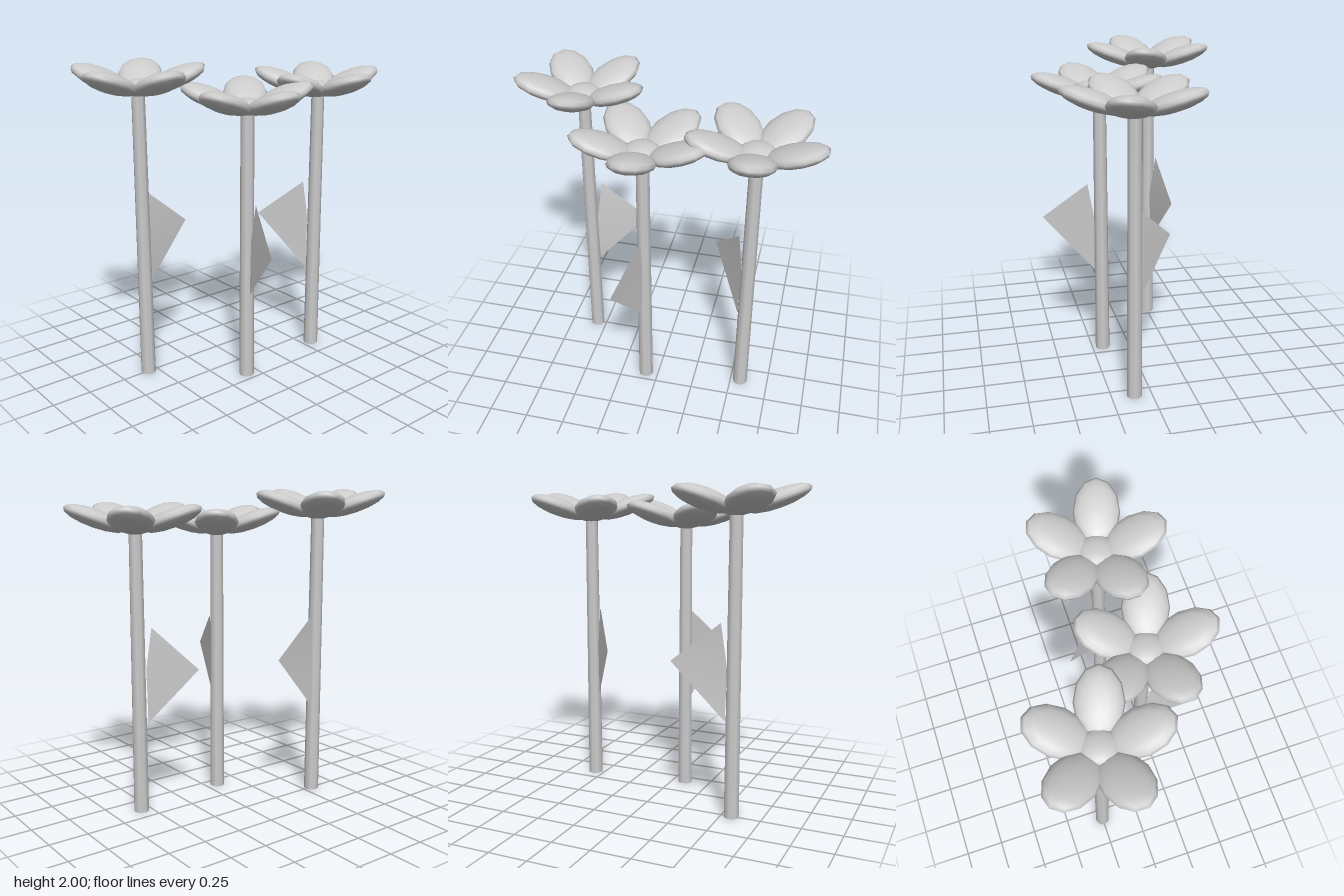
import * as THREE from 'three';

const grey = new THREE.MeshStandardMaterial({ color: 0xcccccc, side: THREE.DoubleSide });
grey.name = 'light grey';

// Each flower: stem position, top of its petals, and leaf corners (top, tip, bottom, stem side)
const flowers = [
  { x: -0.25, z: 0.565, top: 2.0,
    leaf: [[-0.29, 1.2, 0.495], [-0.325, 0.955, 0.19], [-0.27, 0.6, 0.52], [-0.255, 0.92, 0.525]] },
  { x: 0.18, z: 0.083, top: 1.893,
    leaf: [[0.265, 1.17, 0.085], [0.545, 0.93, 0.2], [0.225, 0.575, 0.095], [0.22, 0.92, 0.085]] },
  { x: 0.108, z: -0.565, top: 1.928,
    leaf: [[0.07, 1.18, -0.49], [-0.175, 0.94, -0.31], [0.085, 0.575, -0.515], [0.09, 0.92, -0.52]] },
];

function add(parent, name, geometry) {
  const mesh = new THREE.Mesh(geometry, grey);
  mesh.name = name;
  parent.add(mesh);
  return mesh;
}

// Flat kite made of two triangles
function leafGeometry(corners) {
  const g = new THREE.BufferGeometry();
  g.setAttribute('position', new THREE.Float32BufferAttribute(corners.flat(), 3));
  g.setIndex([0, 1, 3, 1, 2, 3]);
  g.computeVertexNormals();
  return g;
}

function makeHead() {
  const head = new THREE.Group();
  head.name = 'flowerHead';
  // Domed centre
  const dome = new THREE.SphereGeometry(1, 12, 8).scale(0.112, 0.05, 0.112);
  add(head, 'flowerCentre', dome).position.y = -0.135;
  // Five upturned petals
  const petal = new THREE.SphereGeometry(1, 12, 8)
    .scale(0.2, 0.055, 0.137).rotateZ(0.35).translate(0.23, -0.088, 0);
  for (let i = 0; i < 5; i++) {
    add(head, 'petal', petal).rotation.y = (i * Math.PI * 2) / 5;
  }
  return head;
}

export function createModel() {
  const model = new THREE.Group();
  model.name = 'flowers';
  for (const { x, z, top, leaf } of flowers) {
    const flower = new THREE.Group();
    flower.name = 'flower';
    const height = top - 0.14;
    const stem = add(flower, 'stem', new THREE.CylinderGeometry(0.041, 0.048, height, 8));
    stem.position.set(x, height / 2, z);
    const head = makeHead();
    head.position.set(x, top, z);
    flower.add(head);
    add(flower, 'leaf', leafGeometry(leaf));
    model.add(flower);
  }
  return model;
}
